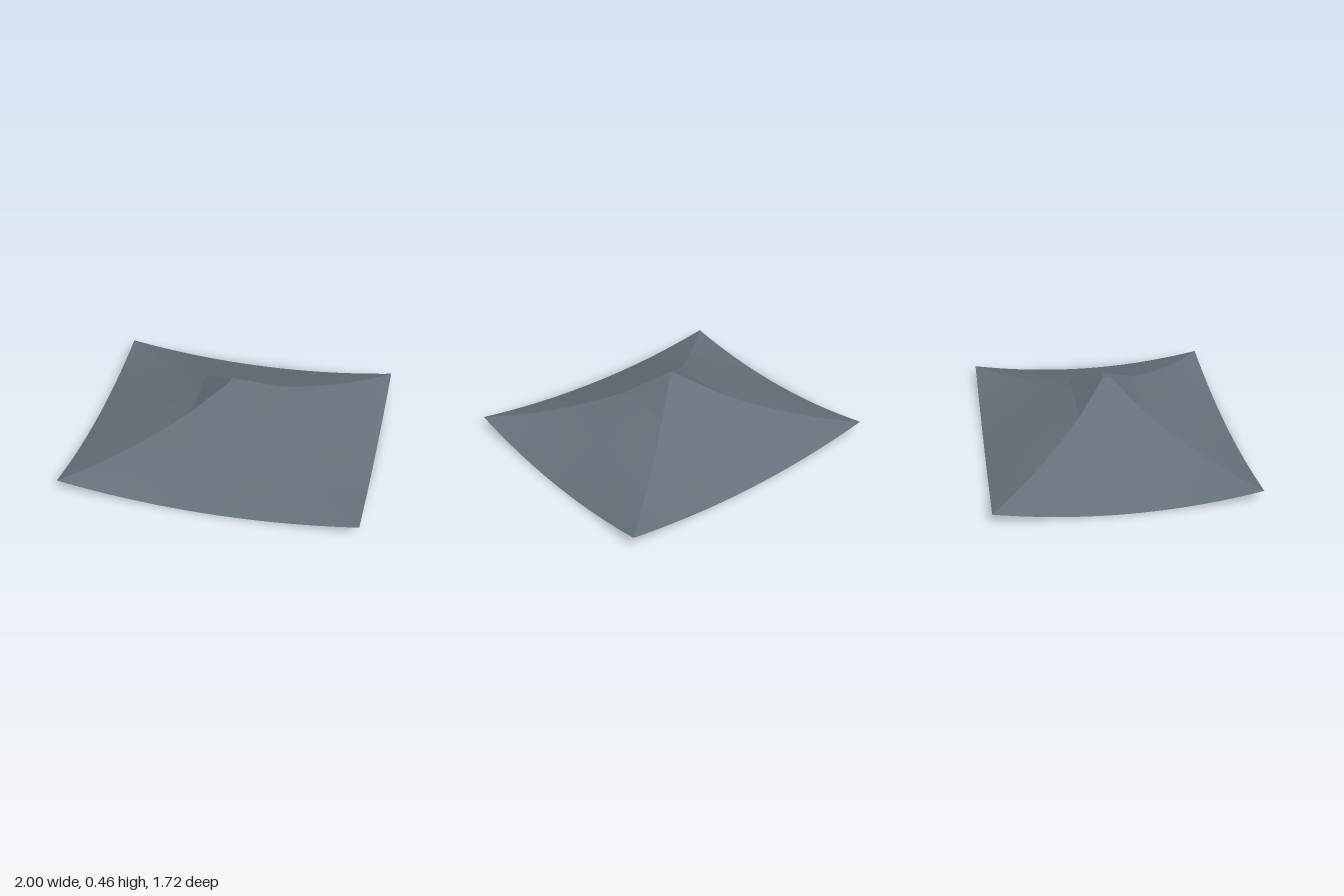
import * as THREE from 'three';

const slate = new THREE.MeshStandardMaterial({ color: 0x66707a, side: THREE.DoubleSide });
slate.name = 'slate';

const EAVE = [1, 0.86], RING = [0.26, 0.22], TOP = [0.025, 0.022];
const RING_Y = 0.3, TOP_Y = 0.46;

// Height of the roof slope: t runs from eave (0) to ring (1), u across the panel (-1 to 1).
function slopeHeight(u, t) {
  const middle = RING_Y * t;
  const hip = 0.085 + 0.053 * t + 0.162 * t * t;
  return middle + (hip - middle) * u * u;
}

// One trapezoid panel facing +z, sagging in the middle and lifted at the corners.
function panelGeometry(across, out) {
  const g = new THREE.PlaneGeometry(2, 1, 32, 16);
  const p = g.attributes.position;
  for (let i = 0; i < p.count; i++) {
    const u = p.getX(i), t = p.getY(i) + 0.5;
    p.setXYZ(i,
      u * THREE.MathUtils.lerp(EAVE[across], RING[across], t),
      slopeHeight(u, t),
      THREE.MathUtils.lerp(EAVE[out], RING[out], t));
  }
  g.computeVertexNormals();
  return g;
}

// Frustum cap: a box whose top and bottom faces are resized.
function capGeometry() {
  const g = new THREE.BoxGeometry(2, 1, 2);
  const p = g.attributes.position;
  for (let i = 0; i < p.count; i++) {
    const upper = p.getY(i) > 0, half = upper ? TOP : RING;
    p.setXYZ(i, p.getX(i) * half[0], upper ? TOP_Y : RING_Y, p.getZ(i) * half[1]);
  }
  g.computeVertexNormals();
  return g;
}

export function createModel() {
  const roof = new THREE.Group();
  roof.name = 'curvedRoof';

  // Four curved slopes
  ['frontSlope', 'leftSlope', 'backSlope', 'rightSlope'].forEach((name, k) => {
    const across = k % 2;
    const slope = new THREE.Mesh(panelGeometry(across, 1 - across), slate);
    slope.name = name;
    slope.rotation.y = k * Math.PI / 2;
    roof.add(slope);
  });

  // Steeper peak
  const cap = new THREE.Mesh(capGeometry(), slate);
  cap.name = 'peakCap';
  roof.add(cap);

  return roof;
}
